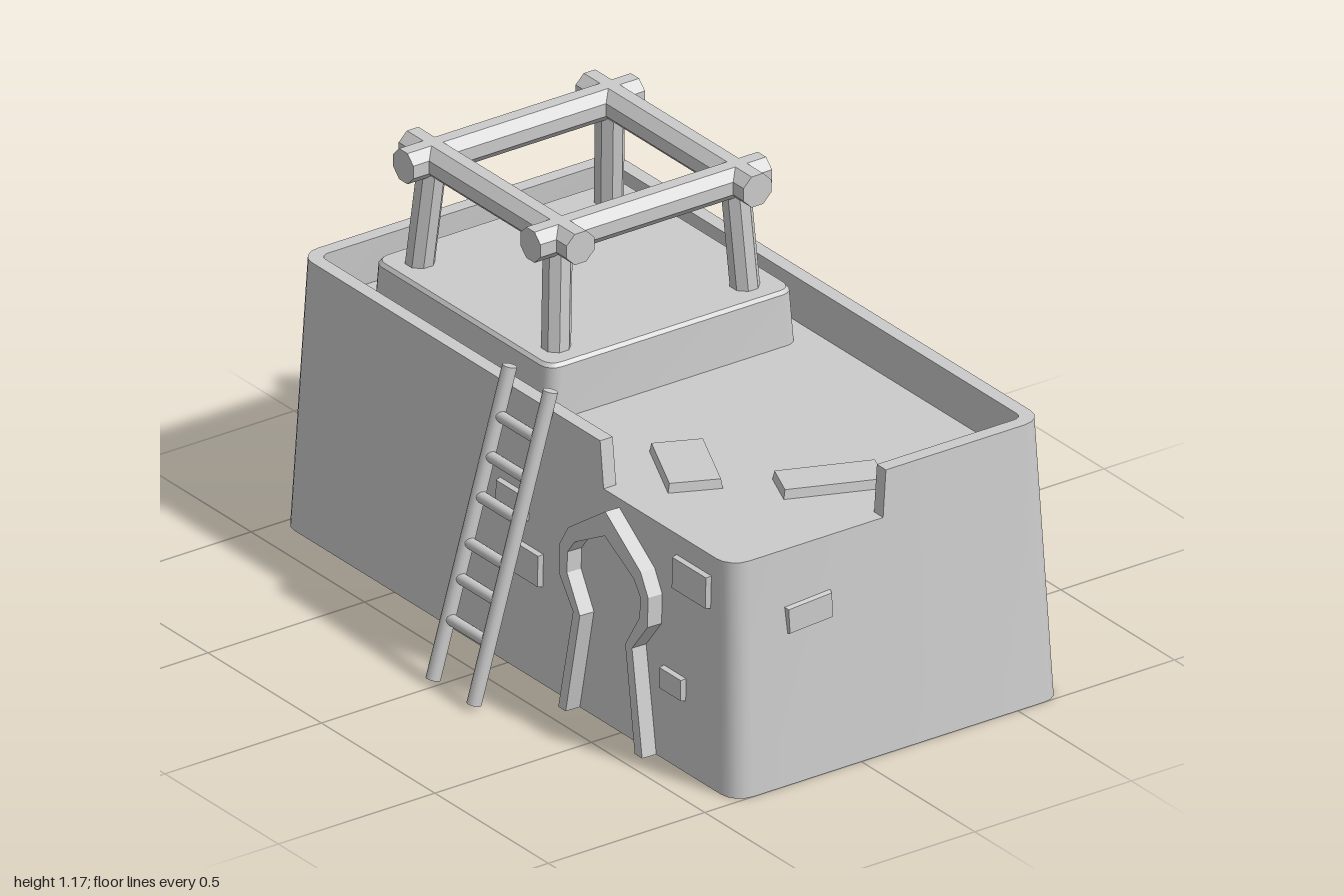
import * as THREE from 'three';
import { toCreasedNormals } from 'three/addons/utils/BufferGeometryUtils.js';

const material = new THREE.MeshStandardMaterial({ color: 0xcccccc, side: THREE.DoubleSide });
const V = (x, y, z) => new THREE.Vector3(x, y, z);

function add(parent, name, geometry) {
  const mesh = new THREE.Mesh(geometry, material);
  mesh.name = name;
  parent.add(mesh);
  return mesh;
}

// Rounded rectangle ring at height y, starting at the front right corner
function outline(x0, x1, z0, z1, r, y) {
  const corners = [[x1 - r, z1 - r], [x1 - r, z0 + r], [x0 + r, z0 + r], [x0 + r, z1 - r]];
  const ring = [];
  corners.forEach(([cx, cz], k) => {
    for (let i = 0; i <= 4; i++) {
      const a = (Math.PI / 2) * (1 - k - i / 4);
      ring.push(V(cx + r * Math.cos(a), y, cz + r * Math.sin(a)));
    }
  });
  return ring;
}

// Skin joining a stack of closed rings
function loft(rings) {
  const n = rings[0].length, index = [];
  for (let r = 0; r < rings.length - 1; r++) {
    for (let i = 0; i < n; i++) {
      const j = (i + 1) % n, a = r * n, b = a + n;
      index.push(a + i, a + j, b + j, a + i, b + j, b + i);
    }
  }
  const geometry = new THREE.BufferGeometry().setFromPoints(rings.flat());
  geometry.setIndex(index);
  return toCreasedNormals(geometry, 0.6);
}

// Ring of the sloping wall at height y, with extra points where the parapet steps down
function wallRing(y, inset = 0) {
  const t = y / 0.79;
  const x = 1 - 0.05 * t - inset, back = -0.645 + 0.025 * t + inset, front = 0.405 - 0.02 * t - inset;
  const ring = outline(-x, x, back, front, inset ? 0.025 : 0.06, y);
  ring.splice(5, 0, V(x, y, -0.1), V(x, y, -0.115));
  ring.push(V(0.38, y, front), V(0.4, y, front));
  return ring;
}

// Straight round bar between two points
function bar(parent, name, a, b, radius, sides) {
  const geometry = new THREE.CylinderGeometry(radius, radius, a.distanceTo(b), sides);
  geometry.rotateY(Math.PI / sides);
  const mesh = add(parent, name, sides > 8 ? geometry : toCreasedNormals(geometry, 0.3));
  mesh.position.copy(a).lerp(b, 0.5);
  mesh.quaternion.setFromUnitVectors(V(0, 1, 0), b.clone().sub(a).normalize());
  return mesh;
}

// Brick with a slightly smaller outer face, facing +z
function brickGeometry(w, h, d) {
  const geometry = new THREE.BoxGeometry(w, h, d);
  const p = geometry.attributes.position;
  for (let i = 0; i < p.count; i++) {
    if (p.getZ(i) > 0) p.setXY(i, p.getX(i) * (1 - 0.012 / w), p.getY(i) * (1 - 0.012 / h));
  }
  geometry.computeVertexNormals();
  return geometry;
}

export function createModel() {
  const model = new THREE.Group();
  model.name = 'mudBrickHouse';

  // Walls, open below, with a parapet that is broken away at the front left corner
  const isLow = (i) => i <= 5 || i === 23;
  const rim = (inset) => {
    const low = wallRing(0.66, inset), high = wallRing(0.79, inset);
    return high.map((p, i) => (isLow(i) ? low[i] : p));
  };
  add(model, 'walls', loft([wallRing(0), rim(0), rim(0.04), wallRing(0.64, 0.04)]));

  // Roof floor
  const floor = wallRing(0.659);
  add(model, 'roofFloor', loft([floor, floor.map(() => V(0, 0.659, -0.12))]));

  // Raised platform
  add(model, 'platform', loft([
    outline(-0.79, 0.008, -0.525, 0.28, 0.04, 0.64),
    outline(-0.78, 0, -0.515, 0.272, 0.04, 0.805),
    outline(-0.772, -0.008, -0.507, 0.264, 0.035, 0.815),
    outline(-0.772, -0.008, -0.507, 0.264, 0.035, 0.815).map(() => V(-0.39, 0.815, -0.12)),
  ]));

  // Timber frame: leaning posts and crossed beams
  const frame = new THREE.Group();
  frame.name = 'timberFrame';
  model.add(frame);
  const xs = [-0.66, -0.1], zs = [-0.4, 0.165], beamY = 1.125;
  for (const z of zs) bar(frame, 'crossBeam', V(-0.75, beamY, z), V(-0.01, beamY, z), 0.048, 8);
  for (const x of xs) bar(frame, 'sideBeam', V(x, beamY, -0.48), V(x, beamY, 0.26), 0.048, 8);
  xs.forEach((x, i) => zs.forEach((z, k) => {
    const foot = V(x + (i ? 0.012 : -0.03), 0.8, z + (k ? 0.022 : -0.018));
    bar(frame, 'post', foot, V(x - (i ? 0.01 : 0), beamY, z), 0.04, 8);
  }));

  // Ladder leaning on the front wall
  const ladder = new THREE.Group();
  ladder.name = 'ladder';
  model.add(ladder);
  const railZ = (y) => 0.63 - (y - 0.015) * 0.293;
  for (const x of [-0.017, 0.163]) {
    bar(ladder, 'rail', V(x, 0.012, railZ(0.012)), V(x, 0.847, railZ(0.847)), 0.02, 12);
  }
  for (const y of [0.176, 0.285, 0.38, 0.503, 0.61, 0.717]) {
    bar(ladder, 'rung', V(-0.017, y, railZ(y)), V(0.163, y, railZ(y)), 0.016, 12);
  }

  // Pointed door surround, one band running up, over and down
  const outer = [[0.185, 0], [0.13, 0.295], [0.195, 0.38], [0.195, 0.465], [0.16, 0.525], [0, 0.635]];
  const inner = [[0.152, 0], [0.1, 0.295], [0.16, 0.395], [0.16, 0.455], [0.13, 0.495], [0, 0.565]];
  const mirror = (points) => points.slice(0, -1).reverse().map(([x, y]) => [-x, y]);
  const band = [...outer, ...mirror(outer), ...mirror(inner).reverse(), ...inner.slice().reverse()];
  const shape = new THREE.Shape(band.map(([x, y]) => new THREE.Vector2(x, y)));
  const arch = add(model, 'doorSurround', new THREE.ExtrudeGeometry(shape, { depth: 0.055, bevelEnabled: false }));
  arch.position.set(0.47, 0, 0.395);
  arch.rotation.x = -0.025;

  // Bricks showing through the plaster: x, y, width, height
  const frontBricks = [
    [0.8, 0.555, 0.16, 0.1], [0.728, 0.235, 0.105, 0.07],
    [0.013, 0.475, 0.135, 0.08], [0.088, 0.322, 0.12, 0.1],
  ];
  for (const [x, y, w, h] of frontBricks) {
    const brick = add(model, 'frontBrick', brickGeometry(w, h, 0.03));
    brick.position.set(x, y, 0.405 - y * 0.025);
    brick.rotation.x = -0.025;
  }
  const sideBrick = add(model, 'sideBrick', brickGeometry(0.15, 0.082, 0.02));
  sideBrick.position.set(0.971, 0.465, 0.147);
  sideBrick.rotation.set(0, Math.PI / 2, 0.063);

  // Loose slabs on the roof: x, z, length, width, turn
  for (const [x, z, l, w, turn] of [[0.435, 0.15, 0.25, 0.148, -0.43], [0.717, -0.105, 0.28, 0.125, 1.19]]) {
    const slab = add(model, 'roofSlab', brickGeometry(l, w, 0.036).rotateX(-Math.PI / 2));
    slab.position.set(x, 0.667, z);
    slab.rotation.y = turn;
  }
  return model;
}
